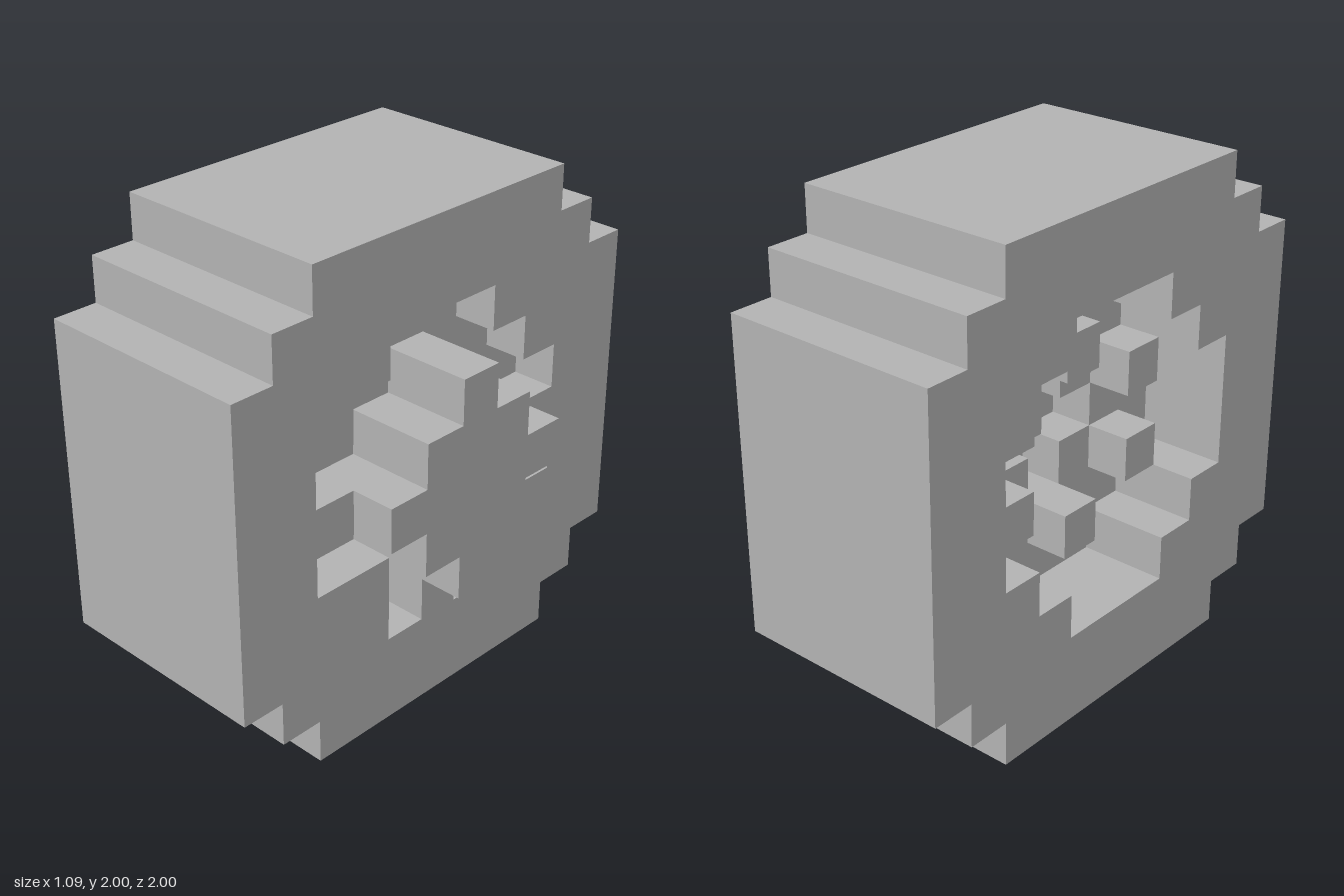
import * as THREE from 'three';

const U = 2 / 11; // one block

// Stepped outline, mirrored about z = 0, from half-widths per row (bottom up)
function steppedPoints(halves, row) {
  const right = [];
  halves.forEach((h, i) => {
    if (i === 0 || h !== halves[i - 1]) right.push([h, row + i]);
    if (h !== halves[i + 1]) right.push([h, row + i + 1]);
  });
  const left = right.map(([h, y]) => [-h, y]).reverse();
  return [...right, ...left].map(([h, y]) => new THREE.Vector2(h * U, y * U));
}

// Stepped slab running along x between two block positions
function slab(halves, row, x0, x1, hole) {
  const shape = new THREE.Shape(steppedPoints(halves, row));
  if (hole) shape.holes.push(new THREE.Path(steppedPoints(hole.halves, hole.row)));
  const geo = new THREE.ExtrudeGeometry(shape, { depth: (x1 - x0) * U, bevelEnabled: false });
  geo.rotateY(Math.PI / 2);
  geo.translate(x0 * U, 0, 0);
  return geo;
}

export function createModel() {
  const model = new THREE.Group();
  model.name = 'blockWheel';
  const grey = new THREE.MeshStandardMaterial({ color: 0xb3b3b3 });
  grey.name = 'grey';

  const add = (name, geo) => {
    const mesh = new THREE.Mesh(geo, grey);
    mesh.name = name;
    model.add(mesh);
  };
  const block = (name, z, row, x0) => {
    const geo = new THREE.BoxGeometry(U, U, U);
    geo.translate((x0 + 0.5) * U, (row + 0.5) * U, z * U);
    add(name, geo);
  };

  const tyre = [3.5, 4.5, 5.5, 5.5, 5.5, 5.5, 5.5, 5.5, 5.5, 4.5, 3.5];
  const rim = [1.5, 2.5, 3.5, 3.5, 3.5, 2.5, 1.5];

  // Tyre ring with a stepped round opening
  add('tyre', slab(tyre, 0, -3, 2, { halves: rim, row: 2 }));

  // Wheel disc, with a cross-shaped socket in its inner face
  add('discInner', slab(rim, 2, -1, 0, { halves: [0.5, 1.5, 0.5], row: 4 }));
  add('discOuter', slab(rim, 2, 0, 1));

  // Protruding diamond hub
  add('hub', slab([0.5, 1.5, 2.5, 1.5, 0.5], 3, 1, 3));

  // Spokes flush with the outer tyre face
  [[0, 2], [-2, 3], [2, 3], [-3, 5], [3, 5]].forEach(([z, row]) => block('spoke', z, row, 1));

  // Ring of lugs on the inner face
  [[0, 3], [0, 7], [-2, 4], [2, 4], [-2, 6], [2, 6]].forEach(([z, row]) => block('lug', z, row, -2));

  return model;
}
